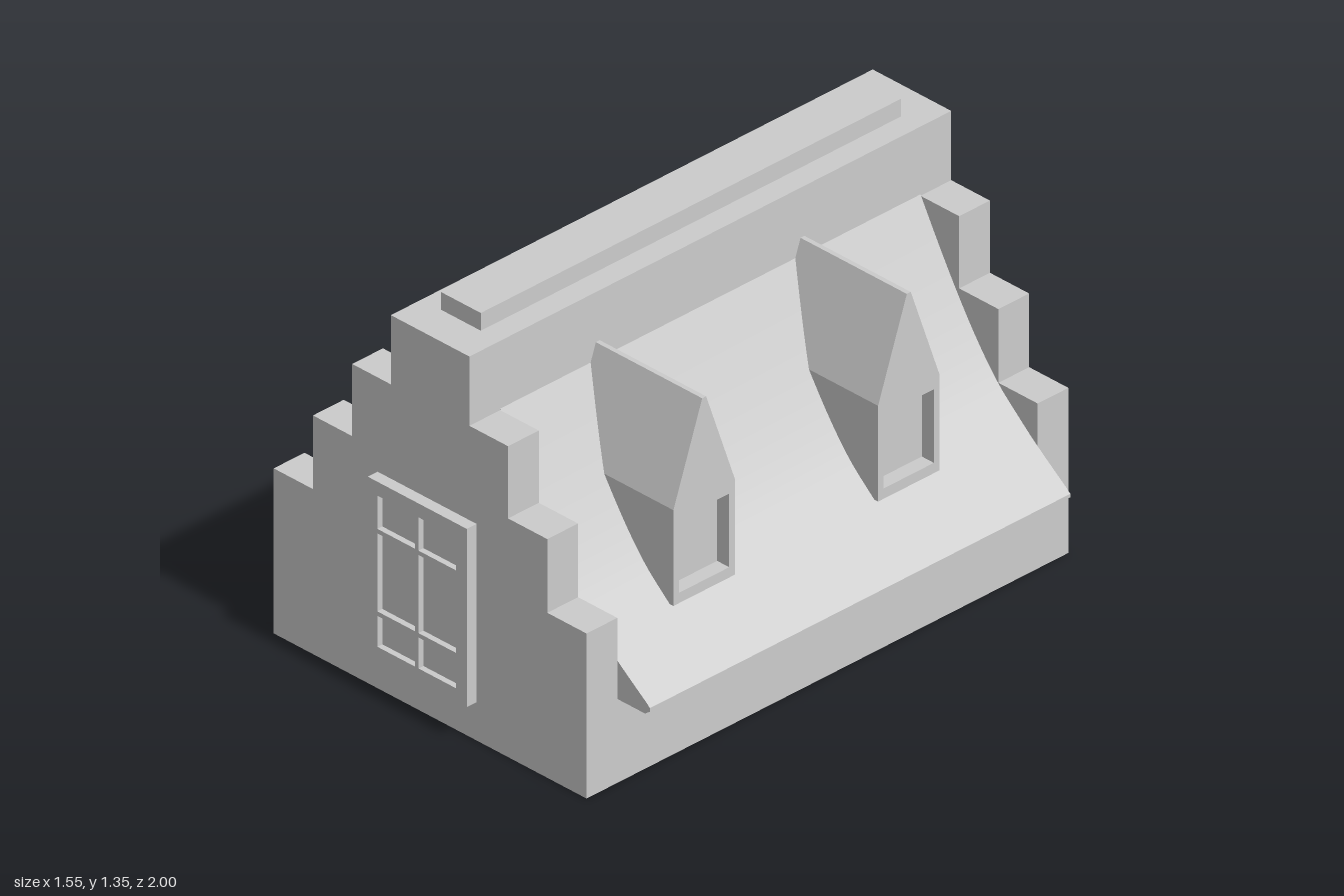
import * as THREE from 'three';
import { toCreasedNormals } from 'three/addons/utils/BufferGeometryUtils.js';

const material = new THREE.MeshStandardMaterial({ color: 0xcccccc, side: THREE.DoubleSide });

function add(parent, name, geometry) {
  const mesh = new THREE.Mesh(geometry, material);
  mesh.name = name;
  parent.add(mesh);
  return mesh;
}

// box given by its two extreme corners
function block(parent, name, [x0, y0, z0], [x1, y1, z1]) {
  const mesh = add(parent, name, new THREE.BoxGeometry(x1 - x0, y1 - y0, z1 - z0));
  mesh.position.set((x0 + x1) / 2, (y0 + y1) / 2, (z0 + z1) / 2);
}

const polygon = (points) => new THREE.Shape(points.map(([x, y]) => new THREE.Vector2(x, y)));
const rect = (x0, y0, x1, y1) => polygon([[x0, y0], [x1, y0], [x1, y1], [x0, y1]]);
const extrude = (shape, depth) => new THREE.ExtrudeGeometry(shape, { depth, bevelEnabled: false });

const CENTER = -0.0075;              // the walls sit slightly off the roof axis
const FRONT = 0.96, BACK = -1;       // outer faces of the gables
const ROOF_FRONT = 0.835, ROOF_BACK = -0.875;
const EAVE = 0.285;

// half outline of a stepped gable, from the eave up to the ridge
const STEPS = [
  [0.6475, EAVE], [0.6475, 0.56], [0.485, 0.56], [0.485, 0.81],
  [0.3225, 0.81], [0.3225, 1.055], [0.1625, 1.055], [0.1625, 1.29],
];

function mirrored(half, center) {
  return polygon([
    ...half.map(([x, y]) => [center + x, y]),
    ...half.slice().reverse().map(([x, y]) => [center - x, y]),
  ]);
}

function addRoof(house) {
  // flared slope, ending in a blunt eave
  const slope = new THREE.SplineCurve([
    [0.76, 0.325], [0.64, 0.415], [0.56, 0.482], [0.475, 0.56],
    [0.395, 0.66], [0.315, 0.78], [0.235, 0.915], [0.155, 1.06],
  ].map(([x, y]) => new THREE.Vector2(x, y))).getPoints(20).map((p) => [p.x, p.y]);
  const half = [[0.755, EAVE], [0.775, 0.3], [0.775, 0.312], ...slope];
  const geometry = extrude(mirrored(half, 0), ROOF_FRONT - ROOF_BACK);
  add(house, 'roof', toCreasedNormals(geometry, 0.3)).position.z = ROOF_BACK;
}

function addDormer(house, z) {
  const dormer = new THREE.Group();
  dormer.name = 'dormer';
  const outline = () => mirrored([[0.125, 0.465], [0.125, 0.79], [0.008, 1.12]], 0);
  const recess = 0.05, front = 0.595, back = 0.1;

  // solid core running back into the ridge
  add(dormer, 'dormerBody', extrude(outline(), front - recess - back));

  // front frame around the recessed window
  const frame = outline();
  frame.holes.push(rect(-0.102, 0.5, 0.102, 0.75));
  add(dormer, 'dormerWindowFrame', extrude(frame, recess)).position.z = front - recess - back;

  dormer.rotation.y = Math.PI / 2;
  dormer.position.set(back, 0, z);
  house.add(dormer);
}

function addFrontWindow(house) {
  const frame = rect(-0.225, 0.13, 0.185, 0.735);
  for (const [x0, x1] of [[-0.185, -0.03], [-0.015, 0.14]]) {
    for (const [y0, y1] of [[0.175, 0.28], [0.295, 0.56], [0.575, 0.688]]) {
      frame.holes.push(rect(x0, y0, x1, y1));
    }
  }
  add(house, 'frontWindowFrame', extrude(frame, 0.04)).position.z = FRONT;
  block(house, 'frontWindowPanes', [-0.22, 0.14, FRONT - 0.01], [0.18, 0.73, FRONT + 0.02]);
}

export function createModel() {
  const house = new THREE.Group();
  house.name = 'house';

  // thin lower walls, open underneath
  const w = 0.6475, t = 0.005;
  const plan = rect(CENTER - w, -FRONT, CENTER + w, -BACK);
  plan.holes.push(rect(CENTER - w + t, -FRONT + t, CENTER + w - t, -BACK - t));
  add(house, 'lowerWalls', extrude(plan, EAVE)).rotation.x = -Math.PI / 2;

  // stepped gables
  const gable = extrude(mirrored(STEPS, CENTER), 0.125);
  add(house, 'frontGable', gable).position.z = ROOF_FRONT;
  add(house, 'backGable', gable).position.z = BACK;

  addRoof(house);

  // ridge beam and its cap
  block(house, 'ridge', [-0.17, 0.98, ROOF_BACK], [0.155, 1.29, ROOF_FRONT]);
  block(house, 'ridgeCap', [-0.09, 1.29, ROOF_BACK], [0.075, 1.35, ROOF_FRONT]);

  // dormers on the left slope only
  for (const z of [0.4375, -0.395]) addDormer(house, z);

  addFrontWindow(house);
  return house;
}
